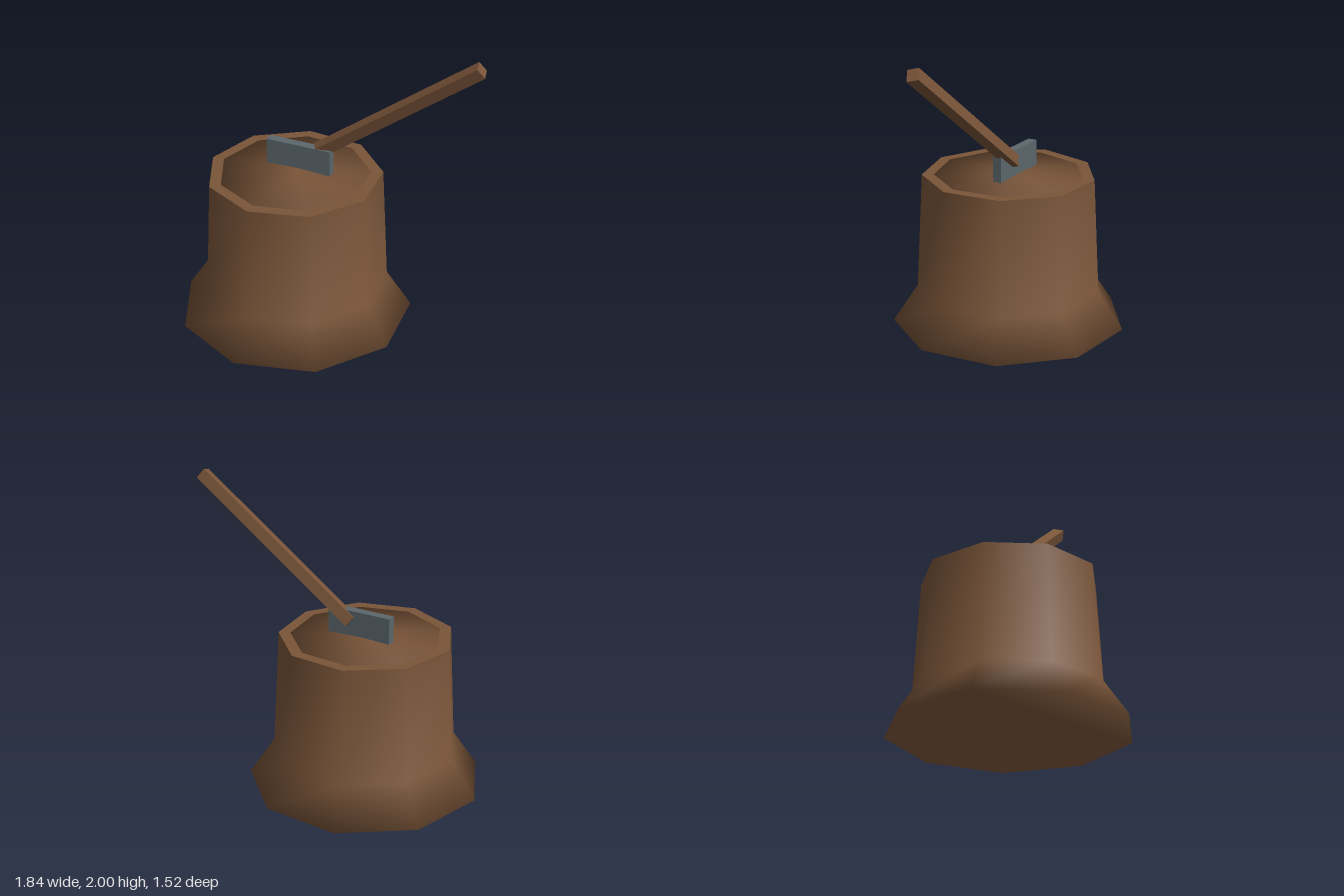
import * as THREE from 'three';

const SIDES = 9;

// Nine-sided surface through rings of [radius, y, normalOut, normalUp], listed bottom to top
// (outside in on the top); closed adds a flat base sharing the first ring.
function ringSurface(rings, closed = false) {
  const pos = [], nor = [], idx = [];
  for (const [r, y, out, up] of rings) {
    for (let i = 0; i < SIDES; i++) {
      const a = (i / SIDES) * Math.PI * 2, s = Math.sin(a), c = Math.cos(a);
      const len = Math.hypot(out, up);
      pos.push(r * s, y, r * c);
      nor.push((out * s) / len, up / len, (out * c) / len);
    }
  }
  for (let k = 0; k < rings.length - 1; k++) {
    for (let i = 0; i < SIDES; i++) {
      const j = (i + 1) % SIDES, lo = k * SIDES, hi = lo + SIDES;
      idx.push(lo + i, lo + j, hi + j);
      if (rings[k + 1][0] > 0) idx.push(lo + i, hi + j, hi + i);
    }
  }
  if (closed) for (let i = 1; i < SIDES - 1; i++) idx.push(0, i + 1, i);
  const g = new THREE.BufferGeometry();
  g.setAttribute('position', new THREE.Float32BufferAttribute(pos, 3));
  g.setAttribute('normal', new THREE.Float32BufferAttribute(nor, 3));
  g.setIndex(idx);
  return g;
}

export function createModel() {
  const wood = new THREE.MeshStandardMaterial({ color: 0x7a5539 });
  wood.name = 'wood';
  const metal = new THREE.MeshStandardMaterial({ color: 0x5c676c });
  metal.name = 'metal';

  const model = new THREE.Group();
  model.name = 'axeInStump';
  const add = (parent, name, geometry, material) => {
    const mesh = new THREE.Mesh(geometry, material);
    mesh.name = name;
    parent.add(mesh);
    return mesh;
  };

  // Stump: flared bark, flat rim and softly rounded heartwood
  const stump = new THREE.Group();
  stump.name = 'stump';
  stump.position.set(-0.153, 0, -0.028);
  model.add(stump);
  add(stump, 'bark', ringSurface([
    [0.783, 0, 0.91, -0.41],
    [0.617, 0.25, 0.95, 0.3],
    [0.576, 1.03, 1, 0.05],
  ], true), wood);
  add(stump, 'rim', ringSurface([[0.576, 1.03, 0, 1], [0.498, 1.03, 0, 1]]), wood);
  add(stump, 'heartwood', ringSurface([[0.498, 1.03, 0.96, 0.28], [0, 1.05, 0, 1]]), wood);

  // Axe: head sunk into the stump, handle slanting up to the front left
  const axe = new THREE.Group();
  axe.name = 'axe';
  model.add(axe);
  const head = add(axe, 'axeHead', new THREE.BoxGeometry(0.45, 0.27, 0.06), metal);
  head.position.set(-0.111, 1.08, -0.064);
  head.rotation.y = -0.61;

  const low = new THREE.Vector3(-0.05, 1.14, -0.047);
  const high = new THREE.Vector3(0.877, 1.96, 0.59);
  const along = high.clone().sub(low);
  const length = along.length();
  along.normalize();
  const across = new THREE.Vector3(-0.03, -0.02, 0.07);
  across.addScaledVector(along, -across.dot(along)).normalize();
  const third = across.clone().cross(along);
  const handle = add(axe, 'axeHandle', new THREE.BoxGeometry(0.077, length, 0.077), wood);
  handle.quaternion.setFromRotationMatrix(new THREE.Matrix4().makeBasis(across, along, third));
  handle.position.copy(low).add(high).multiplyScalar(0.5);

  return model;
}
